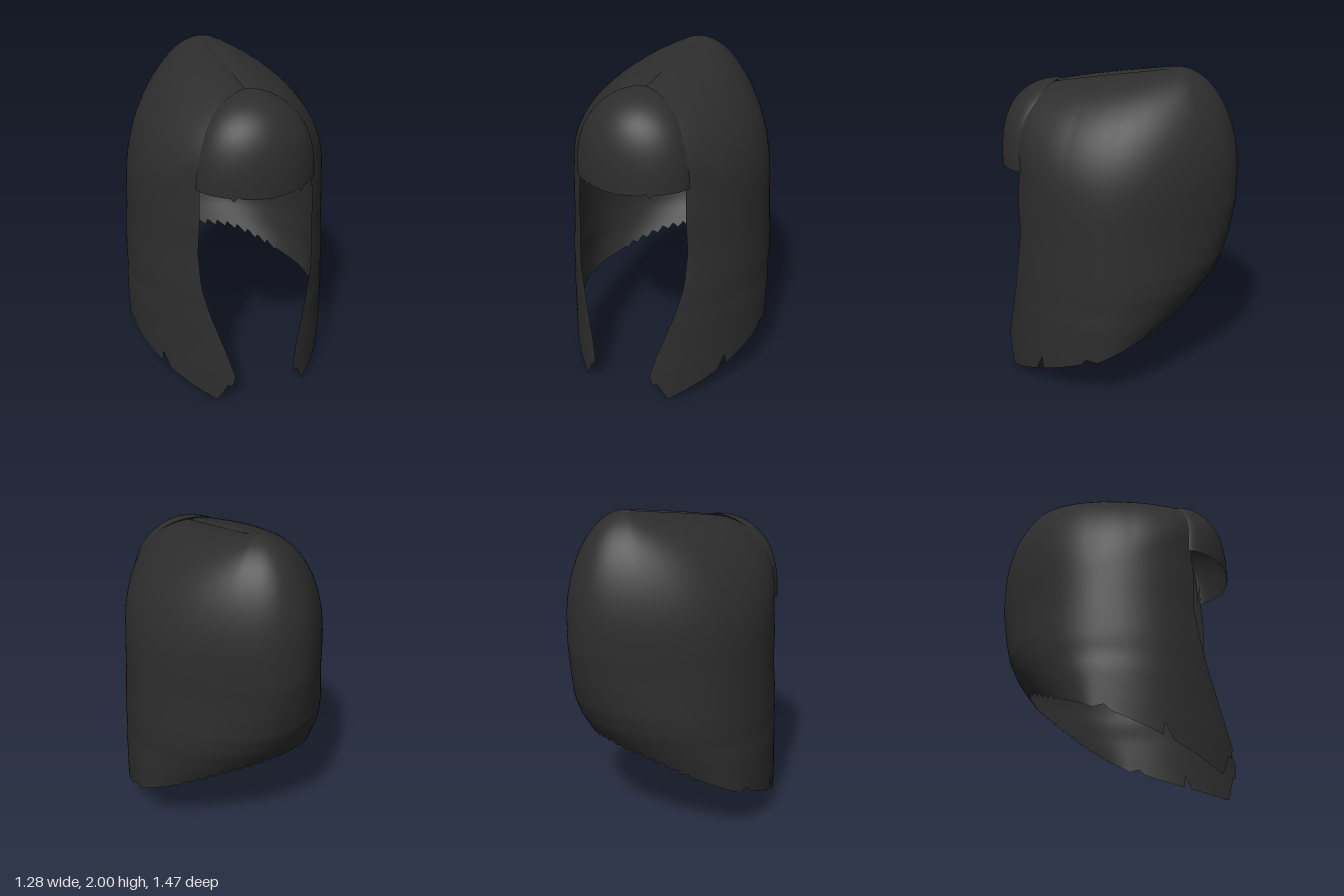
import * as THREE from 'three';

const hair = new THREE.MeshStandardMaterial({ color: 0x2d2d2d, side: THREE.DoubleSide });
hair.name = 'charcoal hair';

const { lerp, smoothstep } = THREE.MathUtils;

// Piecewise linear lookup in a list of [key, value] pairs with rising keys
function lookup(table, k) {
  if (k <= table[0][0]) return table[0][1];
  for (let i = 1; i < table.length; i++) {
    const [k0, v0] = table[i - 1], [k1, v1] = table[i];
    if (k <= k1) return v0 + (v1 - v0) * (k - k0) / (k1 - k0);
  }
  return table[table.length - 1][1];
}

// Smooth sheet from a grid of points: point(column, row) -> [x, y, z]
function sheet(name, cols, rows, point) {
  const pos = [], index = [];
  for (let j = 0; j <= rows; j++) for (let i = 0; i <= cols; i++) pos.push(...point(i, j));
  for (let j = 0; j < rows; j++) for (let i = 0; i < cols; i++) {
    const a = j * (cols + 1) + i, b = a + cols + 1;
    index.push(a, a + 1, b, a + 1, b + 1, b);
  }
  const g = new THREE.BufferGeometry();
  g.setAttribute('position', new THREE.Float32BufferAttribute(pos, 3));
  g.setIndex(index);
  g.computeVertexNormals();
  const mesh = new THREE.Mesh(g, hair);
  mesh.name = name;
  return mesh;
}

// Horizontal section by height: half width, front and back depth, angle of the face opening
const width = [[0, 0.63], [0.28, 0.64], [0.54, 0.637], [0.64, 0.626], [0.74, 0.628], [1, 0.615], [1.3, 0.602]];
const front = [[0, 0.775], [0.18, 0.77], [0.6, 0.71], [0.8, 0.69], [1, 0.668], [1.2, 0.675], [1.4, 0.655]];
const back = [[0.3, 0.33], [0.44, 0.42], [0.6, 0.53], [0.72, 0.61], [0.85, 0.67], [1, 0.705], [1.2, 0.735]];
const opening = [[0, 1.19], [0.18, 1.17], [0.4, 1.09], [0.6, 1.02], [0.8, 0.96], [1, 0.935], [1.4, 0.95]];

// By position from the front edge (0) to the middle of the back (1)
const crownDepth = [[0, 0.38], [0.12, 0.54], [0.25, 0.67], [0.4, 0.75], [0.5, 0.74], [0.65, 0.7], [0.85, 0.66], [1, 0.65]];
const hem = [[0, 0.18], [0.014, 0.11], [0.028, 0.12], [0.07, 0], [0.222, 0.14], [0.236, 0.24], [0.25, 0.165],
  [0.375, 0.285], [0.389, 0.325], [0.43, 0.31], [0.61, 0.4], [0.75, 0.5], [0.82, 0.55], [0.88, 0.575], [1, 0.605]];
const softHem = [[0, 0.22], [0.07, 0.18], [0.25, 0.28], [0.43, 0.37], [0.61, 0.46], [0.75, 0.56], [0.88, 0.635], [1, 0.665]];

const HALF = 72, CAP = 22, DROP = 24;

function shellPoint(i, j) {
  const side = i < HALF ? -1 : 1;
  const s = 1 - Math.abs(i - HALF) / HALF;
  // Columns start along the ridge, then gather at its rear end and fan out
  const k = 1 - Math.pow(Math.max(0, 1 - s / 0.72), 1.4);
  const ridgeZ = 0.385 - 0.735 * k;
  const ridgeY = 1.88 + 0.12 * Math.pow(k, 0.9);
  const depth = lookup(crownDepth, s);
  let a = Math.PI / 2, y;
  if (j <= CAP) {
    // Rounded crown, with a shallow parting along the ridge
    a *= j / CAP;
    y = ridgeY - depth * (1 - Math.cos(a));
    if (j === 0) y -= 0.012 * Math.min(1, (1 - k) * 6);
  } else if (j < CAP + DROP) {
    // Hanging length
    y = lerp(ridgeY - depth, lookup(softHem, s), (j - CAP) / (DROP - 1));
  } else {
    // Ragged hem, toothed towards the back
    const tooth = s > 0.66 ? ((i * 5) % 3 - 1) * 0.016 : 0;
    y = lookup(hem, s) + tooth;
  }
  const phi = lerp(lookup(opening, y), -Math.PI / 2, s);
  const reach = Math.sin(a);
  // Ellipse, drawn in behind the crown and at the low front locks
  const c = Math.max(0, Math.cos(phi));
  const power = phi < 0 ? 1 + 0.65 * c * smoothstep(y, 0.6, 1.2) : 1.28 - 0.26 * smoothstep(y, 0.2, 0.8);
  const x = lookup(width, y) * Math.pow(c, power);
  const z = Math.sin(phi) * lookup(phi < 0 ? back : front, y);
  const spread = Math.pow(reach, 1.25 - 0.25 * smoothstep(s, 0, 0.25));
  return [side * x * reach, y, ridgeZ + (z - ridgeZ) * spread];
}

const FRINGE = 48, FRINGE_ROWS = 24;

function fringePoint(i, j) {
  const th = (0.5 - i / FRINGE) * Math.PI;
  const v = j / FRINGE_ROWS, b = v * Math.PI / 2, reach = Math.sin(b);
  const round = Math.pow(Math.max(0, Math.cos(th)), 1.25);
  const edgeZ = 0.37 + 0.145 * Math.pow(reach, 1.25), midZ = 0.375 + 0.36 * reach;
  const depth = 0.42 - 0.09 * round;
  let y = 1.892 - depth * (1 - Math.cos(b)) - (0.5 - depth) * Math.pow(v, 5);
  if (j === FRINGE_ROWS) {
    // Lower edge dips in the middle, with one small tooth each side
    const k = Math.abs(i - FRINGE / 2);
    y = k === 9 ? 1.365 : k === 8 ? 1.395 : 1.375 + 0.02 * Math.abs(Math.sin(th));
  }
  return [0.363 * reach * Math.sin(th), y, edgeZ + (midZ - edgeZ) * round];
}

export function createModel() {
  const model = new THREE.Group();
  model.name = 'longHair';
  // Main hair from one front lock, round the back, to the other
  model.add(sheet('hairShell', HALF * 2, CAP + DROP, shellPoint));
  // Rounded fringe over the forehead
  model.add(sheet('fringe', FRINGE, FRINGE_ROWS, fringePoint));
  return model;
}
